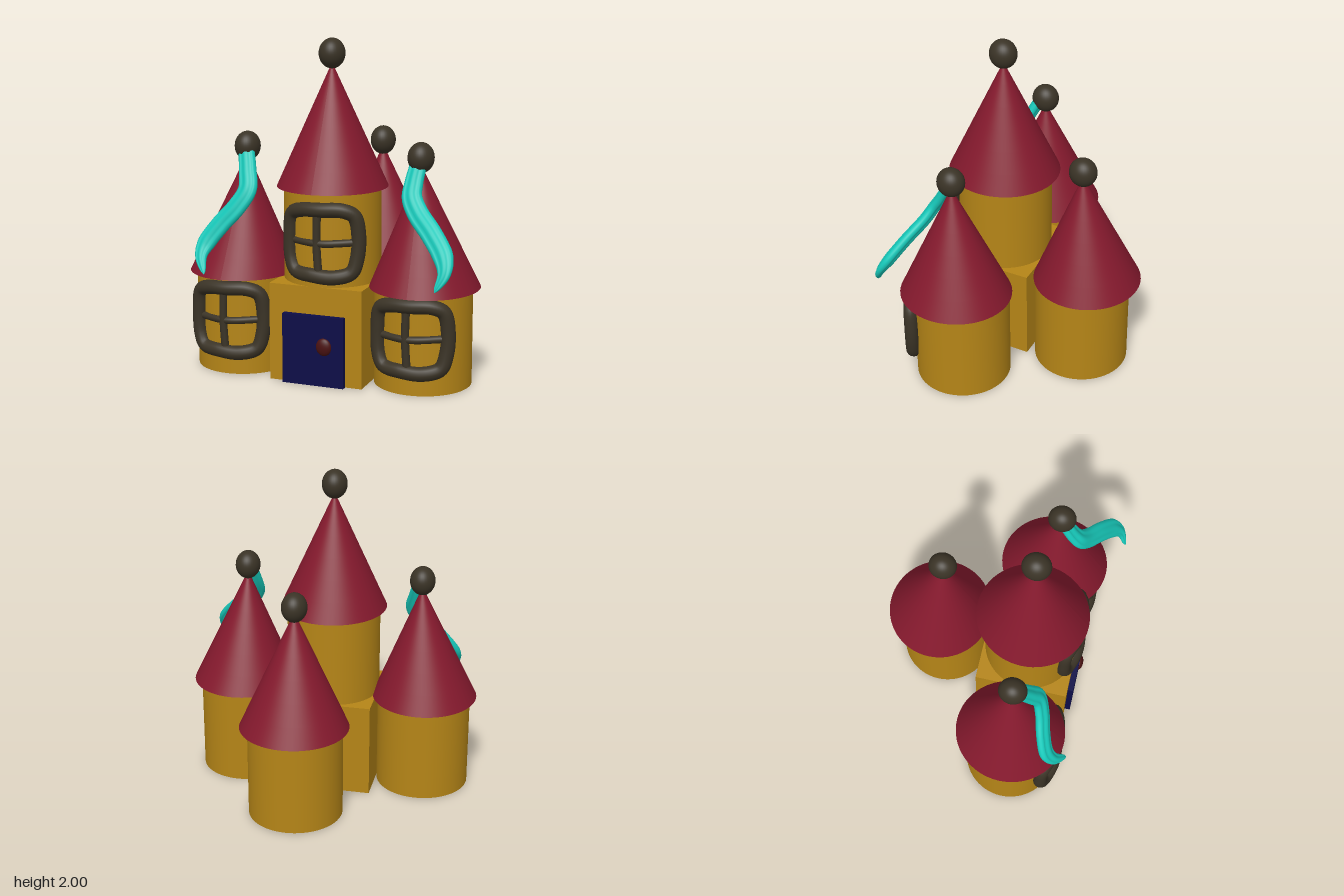
import * as THREE from 'three';

const mat = (color) => new THREE.MeshStandardMaterial({ color, roughness: 0.6 });

export function createModel() {
  const root = new THREE.Group();
  const wall = mat(0xb58517), roof = mat(0x84192d), dark = mat(0x3a3326);
  const doorBlue = mat(0x0d0d48), knobRed = mat(0x4a1212), teal = mat(0x17c9ba);
  teal.side = THREE.DoubleSide;

  const add = (parent, name, geo, material, x = 0, y = 0, z = 0) => {
    const mesh = new THREE.Mesh(geo, material);
    mesh.name = name;
    mesh.position.set(x, y, z);
    parent.add(mesh);
    return mesh;
  };

  // Tower: cylinder wall, cone roof leaning slightly to its tip, ball finial
  function tower({ name, body, y0, y1, cone, r, apex, ballY }) {
    const g = new THREE.Group();
    g.name = name;
    add(g, 'wall', new THREE.CylinderGeometry(0.288, 0.288, y1 - y0, 64), wall, body[0], (y0 + y1) / 2, body[1]);
    const h = apex[1] - y1;
    const geo = new THREE.ConeGeometry(1, h, 64, 6);
    geo.scale(r[0], 1, r[1]);
    geo.translate(0, h / 2, 0);
    const p = geo.attributes.position;
    for (let i = 0; i < p.count; i++) {
      const t = p.getY(i) / h;
      p.setX(i, p.getX(i) + t * (apex[0] - cone[0]));
      p.setZ(i, p.getZ(i) + t * (apex[2] - cone[1]));
    }
    geo.computeVertexNormals();
    add(g, 'roof', geo, roof, cone[0], y1, cone[1]);
    add(g, 'finial', new THREE.SphereGeometry(1, 32, 24), dark, apex[0], ballY, apex[2])
      .scale.set(0.077, 0.089, 0.085);
    root.add(g);
  }
  tower({ name: 'rightTower', body: [-0.578, 0.235], y0: 0, y1: 0.585, cone: [-0.583, 0.23], r: [0.323, 0.34], apex: [-0.552, 1.3, 0.228], ballY: 1.34 });
  tower({ name: 'leftTower', body: [0.566, 0.235], y0: 0, y1: 0.585, cone: [0.583, 0.262], r: [0.322, 0.34], apex: [0.558, 1.3, 0.283], ballY: 1.34 });
  tower({ name: 'backTower', body: [0.11, -0.35], y0: 0, y1: 0.585, cone: [0.107, -0.382], r: [0.33, 0.325], apex: [0.11, 1.3, -0.343], ballY: 1.33 });
  tower({ name: 'middleTower', body: [-0.002, 0.233], y0: 0.57, y1: 1.135, cone: [-0.002, 0.232], r: [0.328, 0.34], apex: [-0.005, 1.86, 0.232], ballY: 1.912 });

  // Gatehouse block with door and knob
  add(root, 'gatehouse', new THREE.BoxGeometry(0.576, 0.585, 0.58), wall, -0.002, 0.2925, 0.23);
  add(root, 'door', new THREE.BoxGeometry(0.38, 0.42, 0.06), doorBlue, -0.005, 0.21, 0.525);
  add(root, 'doorKnob', new THREE.SphereGeometry(1, 24, 16), knobRed, 0.065, 0.24, 0.553).scale.set(0.048, 0.053, 0.025);

  // Window: hand-moulded rounded frame, bowed around the wall, with cross bars
  const bow = (x) => 0.525 - 1.35 * x * x;
  const outline = [
    [-0.19, 0.16], [-0.12, 0.19], [0, 0.197], [0.13, 0.197], [0.19, 0.165], [0.212, 0.06], [0.205, -0.08],
    [0.175, -0.165], [0.08, -0.195], [-0.05, -0.19], [-0.165, -0.175], [-0.2, -0.11], [-0.208, 0.04],
  ].map(([x, y]) => new THREE.Vector3(x, y, bow(x)));
  const bar = (pts) => new THREE.CatmullRomCurve3(pts.map(([x, y]) => new THREE.Vector3(x, y, bow(x))));
  function windowAt(name, x, y) {
    const g = new THREE.Group();
    g.name = name;
    g.position.set(x, y, 0);
    add(g, 'frame', new THREE.TubeGeometry(new THREE.CatmullRomCurve3(outline, true), 96, 0.043, 16, true), dark);
    add(g, 'uprightBar', new THREE.TubeGeometry(bar([[-0.02, 0.19], [-0.024, 0], [-0.012, -0.19]]), 16, 0.024, 12), dark);
    add(g, 'crossBar', new THREE.TubeGeometry(bar([[-0.2, 0.005], [0, 0], [0.2, 0.012]]), 24, 0.022, 12), dark);
    root.add(g);
  }
  windowAt('rightWindow', -0.565, 0.33);
  windowAt('leftWindow', 0.575, 0.33);
  windowAt('middleWindow', 0.035, 0.845);

  // Streamer: lobed, flattened cross-section swept along a waving path to a point
  function streamer(name, pts) {
    const curve = new THREE.CatmullRomCurve3(pts.map((p) => new THREE.Vector3(...p)));
    const N = 48, M = 36, pos = [], idx = [];
    const out = new THREE.Vector3(0, 0.5, 0.86);
    for (let i = 0; i <= N; i++) {
      const t = i / N, c = curve.getPoint(t), T = curve.getTangent(t);
      const u = new THREE.Vector3().crossVectors(T, out).normalize();
      const n = new THREE.Vector3().crossVectors(u, T).normalize();
      const taper = Math.sqrt(Math.max(0.002, Math.min(1, (1 - t) / 0.3)));
      const w = (0.05 + 0.012 * Math.sin(Math.PI * t)) * taper, d = 0.036 * taper;
      for (let j = 0; j < M; j++) {
        const a = (j / M) * Math.PI * 2;
        // Two grooves run along each broad face
        const groove = 1 - 0.3 * Math.pow(Math.abs(Math.cos(3 * a)), 4) * Math.abs(Math.sin(a));
        const v = c.clone().addScaledVector(u, w * Math.cos(a)).addScaledVector(n, d * Math.sin(a) * groove);
        pos.push(v.x, v.y, v.z);
        if (i < N) {
          const k = (j + 1) % M, A = i * M + j, B = i * M + k;
          idx.push(A, B, A + M, B, B + M, A + M);
        }
      }
    }
    const geo = new THREE.BufferGeometry();
    geo.setAttribute('position', new THREE.Float32BufferAttribute(pos, 3));
    geo.setIndex(idx);
    // Keep the winding facing outward
    const q = (k) => new THREE.Vector3().fromArray(pos, k * 3);
    const mid = 20 * M, nrm = q(mid + 1).sub(q(mid)).cross(q(mid + M).sub(q(mid)));
    if (nrm.dot(q(mid).sub(q(mid + M / 2))) < 0) geo.setIndex(idx.slice().reverse());
    geo.computeVertexNormals();
    add(root, name, geo, teal);
  }
  streamer('rightStreamer', [
    [-0.54, 1.31, 0.27], [-0.51, 1.2, 0.325], [-0.49, 1.1, 0.375], [-0.545, 1.0, 0.41],
    [-0.64, 0.89, 0.44], [-0.715, 0.78, 0.48], [-0.725, 0.71, 0.53], [-0.675, 0.62, 0.6],
  ]);
  streamer('leftStreamer', [
    [0.55, 1.31, 0.3], [0.54, 1.2, 0.36], [0.545, 1.13, 0.405], [0.595, 1.05, 0.45],
    [0.7, 0.95, 0.52], [0.79, 0.84, 0.59], [0.81, 0.76, 0.64], [0.77, 0.665, 0.685],
  ]);
  return root;
}
